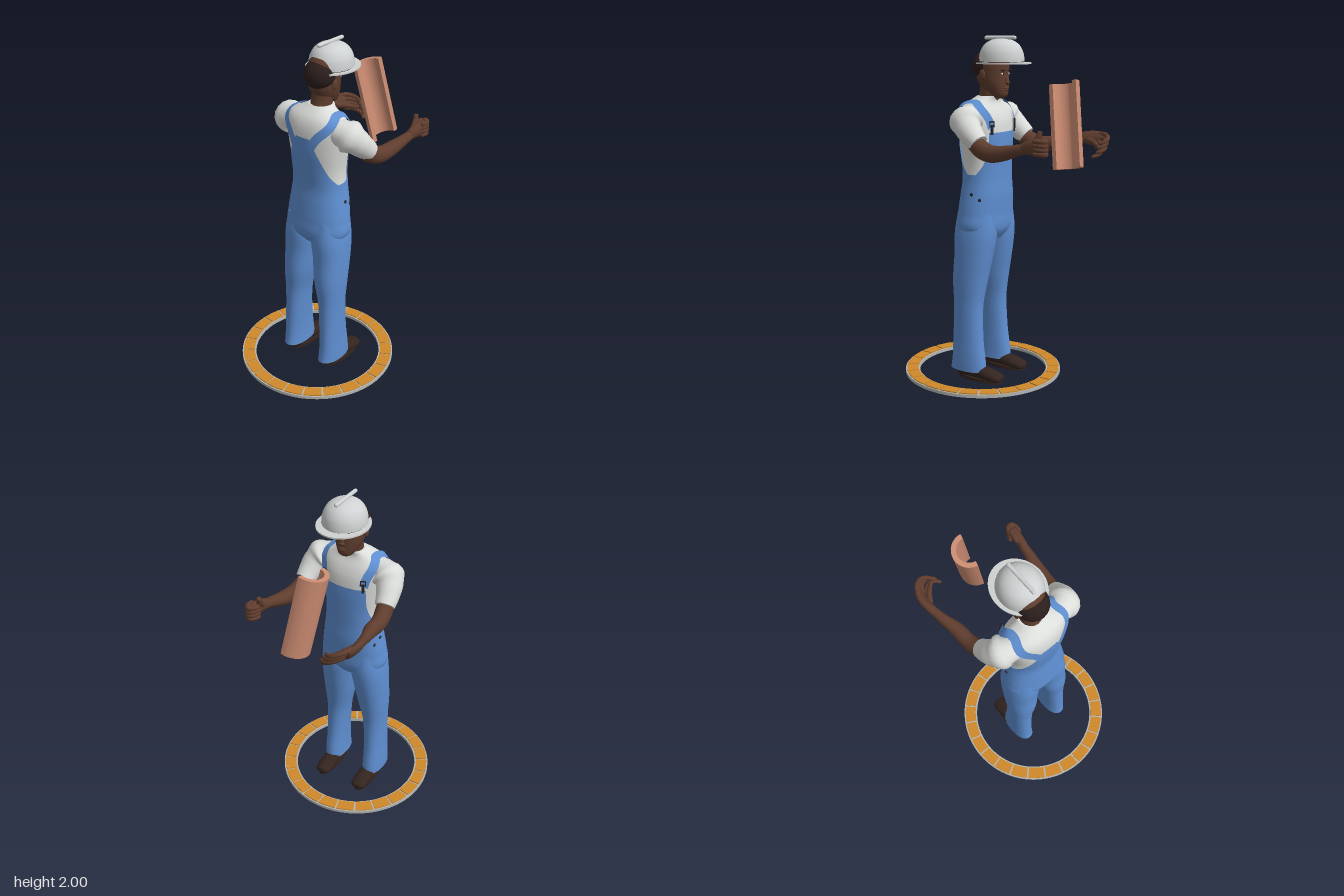
import * as THREE from 'three';
import { toCreasedNormals } from 'three/addons/utils/BufferGeometryUtils.js';

const V = (x, y, z) => new THREE.Vector3(x, y, z);
const mat = (name, color, side = THREE.FrontSide) => {
  const m = new THREE.MeshStandardMaterial({ color, side });
  m.name = name;
  return m;
};

// Smooth interpolation of rows keyed by their first number
function at(rows, y) {
  let i = 0;
  while (i < rows.length - 2 && y > rows[i + 1][0]) i++;
  const a = rows[i], b = rows[i + 1], p = rows[Math.max(i - 1, 0)], q = rows[Math.min(i + 2, rows.length - 1)];
  const h = b[0] - a[0], t = Math.min(1, Math.max(0, (y - a[0]) / h));
  return a.map((v, k) => {
    const m0 = (b[k] - p[k]) / (b[0] - p[0]) * h, m1 = (q[k] - v) / (q[0] - a[0]) * h;
    return v * (2 * t ** 3 - 3 * t * t + 1) + m0 * (t ** 3 - 2 * t * t + t) + b[k] * (3 * t * t - 2 * t ** 3) + m1 * (t ** 3 - t * t);
  });
}
const pw = (v, e) => Math.sign(v) * Math.abs(v) ** e;
// Point on an upright body whose rows are [y, x0, x1, z0, z1]
function onBody(rows, y, a, off = 0, e = 0.88) {
  const [, x0, x1, z0, z1] = at(rows, y);
  return V((x0 + x1) / 2 + ((x1 - x0) / 2 + off) * pw(Math.cos(a), e), y, (z0 + z1) / 2 + ((z1 - z0) / 2 + off) * pw(Math.sin(a), e));
}
// Skin over a grid of points, closed round and capped, or left open
function skin(grid, closed = true) {
  const n = grid[0].length, m = grid.length, pos = [], idx = [];
  grid.forEach(r => r.forEach(p => pos.push(p.x, p.y, p.z)));
  for (let i = 0; i < m - 1; i++) for (let j = 0; j < (closed ? n : n - 1); j++) {
    const k = (j + 1) % n, a = i * n + j, b = i * n + k, c = a + n, d = b + n;
    idx.push(a, c, b, b, c, d);
  }
  if (closed) [0, m - 1].forEach(i => {
    const base = pos.length / 3, c = V(0, 0, 0);
    grid[i].forEach(p => { pos.push(p.x, p.y, p.z); c.addScaledVector(p, 1 / n); });
    pos.push(c.x, c.y, c.z);
    for (let j = 0; j < n; j++) {
      const k = (j + 1) % n;
      if (i) idx.push(base + n, base + k, base + j); else idx.push(base + n, base + j, base + k);
    }
  });
  const g = new THREE.BufferGeometry();
  g.setAttribute('position', new THREE.Float32BufferAttribute(pos, 3));
  g.setIndex(idx);
  g.computeVertexNormals();
  return g;
}
const range = (n, f) => Array.from({ length: n }, (_, i) => f(i));
const body = (rows, y0, y1, off, e, m = 32) =>
  skin(range(m, i => range(40, j => onBody(rows, y0 + (y1 - y0) * i / (m - 1), j / 40 * Math.PI * 2, off, e))));
// Limb through points [x, y, z, side radius, up radius]
function limb(pts, round = true, up = V(0, 1, 0), m = 28, n = 16) {
  const path = new THREE.CatmullRomCurve3(pts.map(p => V(p[0], p[1], p[2])));
  const rad = new THREE.CatmullRomCurve3(pts.map(p => V(p[3], p[4] ?? p[3], 0)));
  return skin(range(m, i => {
    const t = 0.5 - 0.5 * Math.cos(i / (m - 1) * Math.PI), c = path.getPoint(t), T = path.getTangent(t), r = rad.getPoint(t);
    const u = T.clone().cross(up).normalize(), v = u.clone().cross(T);
    const d = Math.max(0, (Math.abs(2 * t - 1) - 0.84) / 0.16), k = round ? Math.max(0.05, Math.sqrt(Math.max(0, 1 - d * d))) : 1;
    return range(n, j => {
      const a = j / n * Math.PI * 2;
      return c.clone().addScaledVector(u, r.x * k * Math.cos(a)).addScaledVector(v, r.y * k * Math.sin(a));
    });
  }));
}

const TORSO = [[0.84, -0.17, 0, -0.1, 0.1], [0.9, -0.213, 0.036, -0.19, 0.19], [1, -0.21, 0.042, -0.19, 0.19], [1.1, -0.2, 0.048, -0.175, 0.175],
  [1.2, -0.19, 0.046, -0.16, 0.16], [1.3, -0.2, 0.048, -0.158, 0.158], [1.42, -0.213, 0.05, -0.175, 0.175], [1.52, -0.212, 0.042, -0.19, 0.19],
  [1.58, -0.2, 0.022, -0.188, 0.188], [1.62, -0.178, 0, -0.155, 0.155], [1.645, -0.15, -0.005, -0.1, 0.1], [1.665, -0.125, 0.005, -0.07, 0.07]];
const LEG = [[0.055, -0.235, -0.002, 0.075, 0.2], [0.12, -0.225, -0.008, 0.077, 0.2], [0.25, -0.218, -0.025, 0.075, 0.197], [0.45, -0.213, -0.032, 0.06, 0.198],
  [0.6, -0.222, -0.01, 0.03, 0.205], [0.75, -0.215, 0.018, 0.01, 0.205], [0.88, -0.217, 0.036, -0.005, 0.2], [1, -0.2, 0.03, 0.01, 0.18]];
const HEAD = [[1.65, -0.01, 0.035, -0.02, 0.02], [1.665, -0.04, 0.054, -0.042, 0.042], [1.7, -0.09, 0.06, -0.062, 0.062], [1.74, -0.12, 0.06, -0.076, 0.076],
  [1.79, -0.135, 0.058, -0.084, 0.084], [1.85, -0.135, 0.06, -0.087, 0.087], [1.92, -0.1, 0.05, -0.07, 0.07], [1.95, -0.05, 0.02, -0.03, 0.03]];

export function createModel() {
  const root = new THREE.Group();
  root.name = 'worker';
  const skinM = mat('skin', 0x5f3d2e), shirtM = mat('shirt white', 0xdcdedb), denim = mat('denim blue', 0x5f8fd2, THREE.DoubleSide);
  const helmetM = mat('helmet grey', 0xcfd2d2, THREE.DoubleSide), hairM = mat('hair', 0x2b1e1c), shoeM = mat('shoe leather', 0x33241f);
  const clayM = mat('terracotta', 0xcc8c72), orange = mat('orange brick', 0xcf892b), grey = mat('mortar grey', 0xb4b6b2), dark = mat('dark metal', 0x25252a);
  const add = (name, geo, m, x = 0, y = 0, z = 0) => {
    const o = new THREE.Mesh(geo, m);
    o.name = name;
    o.position.set(x, y, z);
    root.add(o);
    return o;
  };
  const ball = (name, m, x, y, z, sx, sy, sz) => {
    const o = add(name, new THREE.SphereGeometry(1, 24, 16), m, x, y, z);
    o.scale.set(sx, sy, sz);
    return o;
  };

  // Brick ring on the ground
  const sector = (r0, r1, a0, a1, h) => {
    const s = new THREE.Shape();
    s.absarc(0, 0, r1, a0, a1, false);
    s.absarc(0, 0, r0, a1, a0, true);
    return new THREE.ExtrudeGeometry(s, { depth: h, bevelEnabled: false, curveSegments: 6 }).rotateX(-Math.PI / 2);
  };
  const disc = new THREE.Shape().absarc(0, 0, 0.467, 0, Math.PI * 2);
  disc.holes.push(new THREE.Path().absarc(0, 0, 0.382, 0, Math.PI * 2, true));
  add('ringBase', new THREE.ExtrudeGeometry(disc, { depth: 0.018, bevelEnabled: false, curveSegments: 48 }).rotateX(-Math.PI / 2), grey, -0.108, 0.012);
  for (let i = 0; i < 24; i++) {
    const a = i * Math.PI / 12;
    add('ringBrick', sector(0.391, 0.459, a + 0.012, a + Math.PI / 12 - 0.012, 0.012), orange, -0.108, 0.024);
  }

  // Shirt, trousers and bib
  add('shirt', body(TORSO, 1.17, 1.665), shirtM);
  add('trouserSeat', body(TORSO, 0.84, 1.225, 0.006), denim);
  const patch = (rows, mid, y0, y1) => skin(range(20, i => {
    const y = y0 + (y1 - y0) * i / 19, w = at(rows, y)[1];
    return range(24, j => onBody(TORSO, y, mid + w * (j / 23 * 2 - 1), 0.006));
  }), false);
  add('bibFront', patch([[1.2, 1.57], [1.235, 1.35], [1.28, 1.08], [1.35, 0.86], [1.465, 0.72]], 0, 1.2, 1.465), denim);
  add('bibBack', patch([[1.2, 1.57], [1.235, 1.3], [1.28, 1], [1.35, 0.72], [1.44, 0.42], [1.51, 0.2]], Math.PI, 1.2, 1.51), denim);

  for (const s of [1, -1]) {
    // Shoulder strap laid over the torso
    const way = new THREE.CatmullRomCurve3([[1.49, 0.62], [1.54, 0.68], [1.59, 0.87], [1.622, 1.15], [1.632, 1.5], [1.622, 1.95], [1.58, 2.35], [1.52, 2.72], [1.44, 2.95]].map(p => V(p[0], p[1] * s, 0)));
    const lift = t => { const p = way.getPoint(t); return onBody(TORSO, p.x, p.y, 0.006); };
    add('strap', skin(range(40, i => {
      const t = i / 39, q = way.getPoint(t), p = lift(t), T = lift(Math.min(1, t + 0.01)).sub(lift(Math.max(0, t - 0.01))).normalize();
      const da = onBody(TORSO, q.x, q.y + 0.03).sub(onBody(TORSO, q.x, q.y - 0.03));
      const dy = onBody(TORSO, q.x + 0.005, q.y).sub(onBody(TORSO, q.x - 0.005, q.y));
      const N = dy.cross(da).normalize(), W = N.clone().cross(T).normalize();
      return range(5, j => p.clone().addScaledVector(W, (j / 4 - 0.5) * 0.05).addScaledVector(N, 0.006));
    }), false), denim);
    // Clasp and buttons
    const c = onBody(TORSO, 1.495, 0.6 * s, 0.012);
    const clasp = new THREE.Group();
    clasp.name = 'clasp';
    clasp.position.copy(c);
    clasp.rotation.set(0, Math.PI / 2 - 0.45 * s, 0);
    const loop = new THREE.Mesh(new THREE.TorusGeometry(0.019, 0.005, 6, 4, Math.PI * 2).rotateZ(Math.PI / 4), dark);
    loop.position.y = 0.02;
    const bar = new THREE.Mesh(new THREE.BoxGeometry(0.014, 0.055, 0.01), dark);
    bar.position.y = -0.012;
    clasp.add(loop, bar);
    root.add(clasp);
    [[1.115, 1.52], [1.085, 1.15]].forEach(([y, a]) => {
      const p = onBody(TORSO, y, a * s, 0.007);
      ball('button', dark, p.x, p.y, p.z, 0.01, 0.01, 0.005);
    });
    // Trouser leg and shoe
    const rows = LEG.map(r => s > 0 ? r : [r[0], r[1], r[2], -r[4], -r[3]]);
    add('trouserLeg', body(rows, 0.055, 1, 0, 0.9, 40), denim);
    add('shoe', limb([[-0.19, 0.04, 0.135 * s, 0.03, 0.034], [-0.15, 0.046, 0.135 * s, 0.042, 0.042], [-0.05, 0.048, 0.133 * s, 0.046, 0.042],
      [0.03, 0.04, 0.132 * s, 0.051, 0.036], [0.08, 0.032, 0.132 * s, 0.048, 0.028], [0.112, 0.028, 0.132 * s, 0.036, 0.02]]), shoeM);
    add('shoeSole', new THREE.CylinderGeometry(1, 1, 0.02, 32), shoeM, -0.038, 0.01, 0.133 * s).scale.set(0.148, 1, 0.05);
    // Sleeve and forearm
    const k = s > 0 ? 0 : 1;
    add('sleeve', limb([[-0.095, 1.54, 0.11 * s, 0.07], [-0.088, 1.54, 0.185 * s, 0.077], [-0.06, 1.51, 0.23 * s, 0.077], [-0.01, 1.46, 0.25 * s, 0.066], [0.036, 1.42, 0.258 * s, 0.056]], false), shirtM);
    add('forearm', limb([[-0.02, 1.45, 0.25 * s, 0.045], [0.05, 1.395, 0.262 * s, 0.048, 0.052], [0.12, 1.372, 0.275 * s, 0.045, 0.049],
      [0.22, 1.382, (0.285 - k * 0.003) * s, 0.041, 0.041], [0.31, 1.405, (0.3 + k * 0.006) * s, 0.029, 0.031], [0.38, 1.42, (0.305 + k * 0.015) * s, 0.024, 0.028]], false), skinM);
    // Ear and eye details
    ball('ear', skinM, -0.05, 1.785, 0.088 * s, 0.02, 0.03, 0.01);
    ball('eyeWhite', shirtM, 0.051, 1.79, 0.033 * s, 0.007, 0.006, 0.013);
    ball('pupil', dark, 0.056, 1.79, 0.033 * s, 0.004, 0.005, 0.005);
    ball('eyebrow', hairM, 0.055, 1.809, 0.035 * s, 0.008, 0.005, 0.022);
  }

  // Thumb-up hand
  add('rightPalm', limb([[0.34, 1.417, 0.303, 0.024, 0.028], [0.39, 1.425, 0.308, 0.027, 0.04], [0.44, 1.43, 0.312, 0.03, 0.045], [0.478, 1.43, 0.31, 0.024, 0.04]]), skinM);
  for (let i = 0; i < 4; i++) {
    const y = 1.396 + i * 0.022;
    add('rightFinger', limb([[0.42, y, 0.333, 0.012], [0.472, y, 0.333, 0.013], [0.483, y, 0.3, 0.013], [0.435, y, 0.277, 0.012]]), skinM);
  }
  add('rightThumb', limb([[0.39, 1.435, 0.295, 0.018], [0.425, 1.475, 0.287, 0.016], [0.438, 1.512, 0.28, 0.013]], true, V(0, 0, 1)), skinM);
  // Open curled hand
  add('leftPalm', limb([[0.35, 1.415, -0.314, 0.024, 0.027], [0.4, 1.422, -0.322, 0.025, 0.038], [0.46, 1.42, -0.322, 0.023, 0.046], [0.515, 1.415, -0.306, 0.018, 0.044]], true, V(0, 0.86, -0.5)), skinM);
  for (let i = 0; i < 4; i++) {
    const y = 1.448 - i * 0.024, z = -0.328 + i * 0.014, e = i === 3 ? 0.02 : 0;
    add('leftFinger', limb([[0.48, y, z, 0.013], [0.535 - e, y - 0.004, z + 0.022, 0.0135], [0.565 - e, y - 0.02, z + 0.065, 0.0125], [0.56 - e, y - 0.035, z + 0.1, 0.011], [0.535 - e, y - 0.045, z + 0.125, 0.01]]), skinM);
  }
  add('leftThumb', limb([[0.42, 1.41, -0.305, 0.018], [0.475, 1.4, -0.272, 0.016], [0.51, 1.39, -0.24, 0.013], [0.535, 1.385, -0.21, 0.011]]), skinM);

  // Neck, head, face and hair
  add('neck', limb([[-0.085, 1.6, 0, 0.062], [-0.06, 1.66, 0, 0.06], [-0.045, 1.75, 0, 0.062]], false, V(1, 0, 0)), skinM);
  add('head', body(HEAD, 1.65, 1.95, 0, 0.95), skinM);
  const nose = ball('nose', skinM, 0.058, 1.755, 0, 0.013, 0.03, 0.015);
  nose.rotation.z = 0.25;
  ball('noseTip', skinM, 0.063, 1.742, 0, 0.013, 0.01, 0.02);
  ball('upperLip', skinM, 0.056, 1.712, 0, 0.01, 0.006, 0.025);
  ball('lowerLip', skinM, 0.055, 1.701, 0, 0.01, 0.007, 0.022);
  const hair = ball('hair', hairM, -0.068, 1.832, 0, 0.092, 0.085, 0.091);
  hair.rotation.z = 0.3;

  // Hard hat
  const hat = [[0.17, -0.002], [0.17, 0.004], [0.132, 0.01], [0.13, 0.035], [0.122, 0.068], [0.103, 0.1], [0.075, 0.122], [0.04, 0.134], [0, 0.138]].map(p => new THREE.Vector2(p[0], p[1]));
  const dome = new THREE.SplineCurve(hat.slice(2)).getPoints(30);
  add('helmetDome', new THREE.LatheGeometry(dome, 48), helmetM, 0.024, 1.848).scale.set(1, 1, 0.92);
  const brim = new THREE.Shape().absellipse(0.037, 0, 0.163, 0.142, 0, Math.PI * 2);
  brim.holes.push(new THREE.Path().absellipse(0.024, 0, 0.126, 0.116, 0, Math.PI * 2, true));
  add('helmetBrim', new THREE.ExtrudeGeometry(brim, { depth: 0.008, bevelEnabled: false, curveSegments: 48 }).rotateX(-Math.PI / 2), helmetM, 0, 1.845);
  const ridge = add('helmetRidge', new THREE.CapsuleGeometry(0.011, 0.188, 6, 12).rotateZ(Math.PI / 2), helmetM, 0.015, 1.989);
  ridge.scale.set(1, 1, 1.05);

  // Half-round roof tile floating before the hands
  const arc = new THREE.Shape();
  arc.absarc(0, 0, 0.095, Math.PI, Math.PI * 2, false);
  arc.absarc(0, 0, 0.068, Math.PI * 2, Math.PI, true);
  const axis = V(0.075, -0.46, 0.078), Z = axis.clone().normalize();
  const X = V(0.983, 0.19, 0.18).addScaledVector(Z, -V(0.983, 0.19, 0.18).dot(Z)).normalize();
  const tile = add('roofTile', toCreasedNormals(new THREE.ExtrudeGeometry(arc, { depth: axis.length(), bevelEnabled: false, curveSegments: 24 }), 0.6), clayM, 0.394, 1.752, -0.03);
  tile.quaternion.setFromRotationMatrix(new THREE.Matrix4().makeBasis(X, Z.clone().cross(X), Z));
  return root;
}
